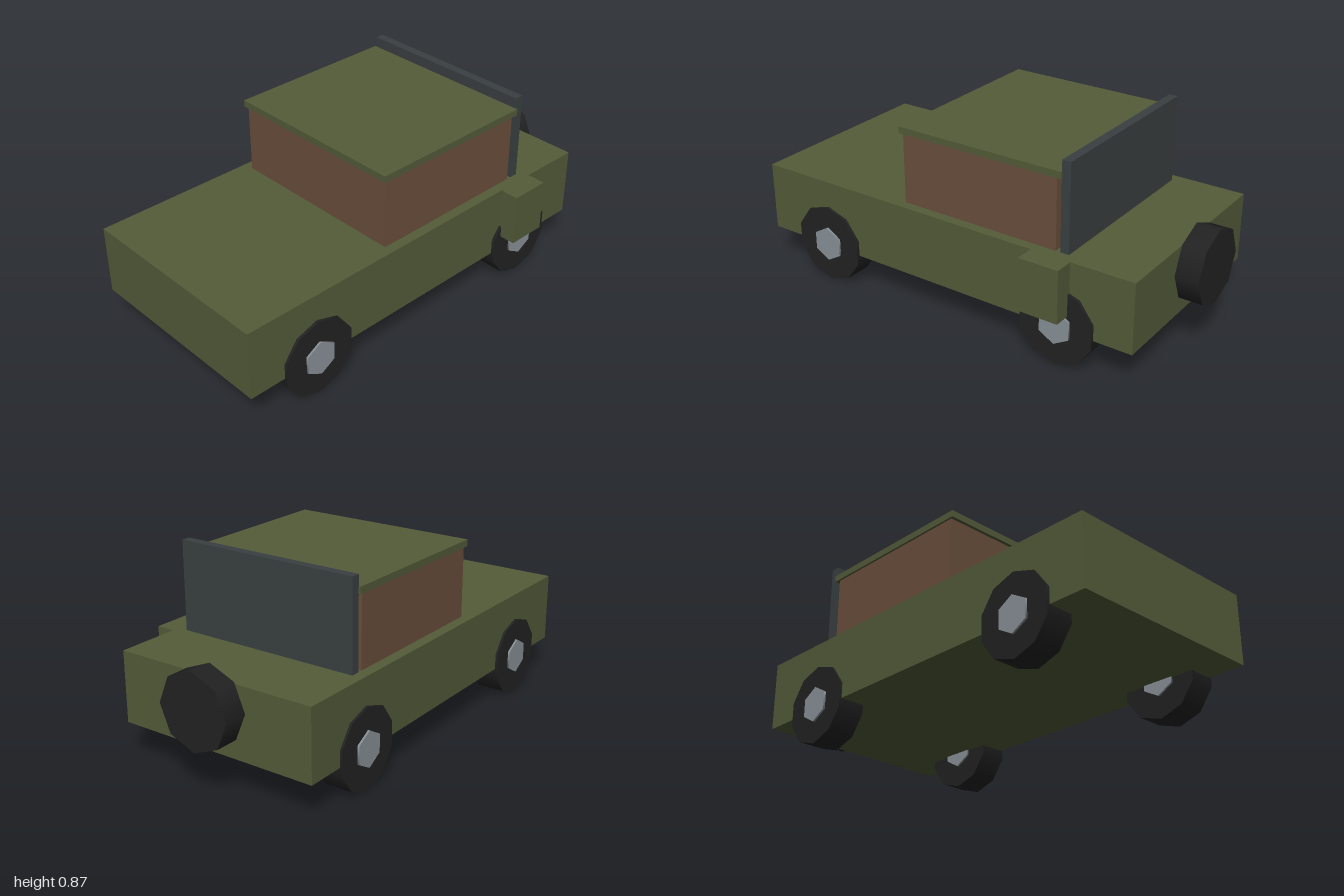
import * as THREE from 'three';

const mat = (name, color) => {
  const m = new THREE.MeshStandardMaterial({ color });
  m.name = name;
  return m;
};

export function createModel() {
  const olive = mat('olive paint', 0x535c39);
  const brown = mat('brown canvas', 0x6a4f3c);
  const slate = mat('dark glass', 0x3a4042);
  const rubber = mat('black rubber', 0x222222);
  const steel = mat('grey steel', 0x8a9298);

  const model = new THREE.Group();
  model.name = 'offRoadTruck';

  // Box given by its extents along each axis
  const box = (name, material, [x0, x1], [y0, y1], [z0, z1]) => {
    const mesh = new THREE.Mesh(new THREE.BoxGeometry(x1 - x0, y1 - y0, z1 - z0), material);
    mesh.position.set((x0 + x1) / 2, (y0 + y1) / 2, (z0 + z1) / 2);
    mesh.name = name;
    model.add(mesh);
  };

  // Body, cabin, roof and upright screen
  box('body', olive, [-0.505, 0.437], [0.163, 0.477], [-0.887, 1]);
  box('cabin', brown, [-0.457, 0.392], [0.477, 0.792], [-0.505, 0.25]);
  box('roof', olive, [-0.466, 0.401], [0.792, 0.822], [-0.528, 0.265]);
  box('screen', slate, [-0.457, 0.392], [0.477, 0.87], [-0.566, -0.526]);

  // Box carried on the left flank
  box('sideBox', olive, [0.43, 0.523], [0.24, 0.4765], [-0.6, -0.417]);

  // Four wheels: ten-sided tyre with a six-sided hub passing through it
  const tyreGeo = new THREE.CylinderGeometry(0.178, 0.178, 0.126, 10).rotateX(Math.PI / 2).rotateY(Math.PI / 2);
  const hubGeo = new THREE.CylinderGeometry(0.08, 0.08, 0.144, 6).rotateX(Math.PI / 2).rotateY(Math.PI / 2);
  for (const [side, x] of [['Right', -0.453], ['Left', 0.387]]) {
    for (const [end, z] of [['front', 0.663], ['rear', -0.544]]) {
      const wheel = new THREE.Group();
      wheel.name = `${end}${side}Wheel`;
      const tyre = new THREE.Mesh(tyreGeo, rubber);
      tyre.name = 'tyre';
      const hub = new THREE.Mesh(hubGeo, steel);
      hub.name = 'hub';
      wheel.add(tyre, hub);
      wheel.position.set(x, 0.179, z);
      model.add(wheel);
    }
  }

  // Spare wheel behind the body
  const spare = new THREE.Mesh(new THREE.CylinderGeometry(0.168, 0.168, 0.105, 8), rubber);
  spare.rotation.x = Math.PI / 2;
  spare.position.set(-0.034, 0.37, -0.9475);
  spare.name = 'spareWheel';
  model.add(spare);

  return model;
}
